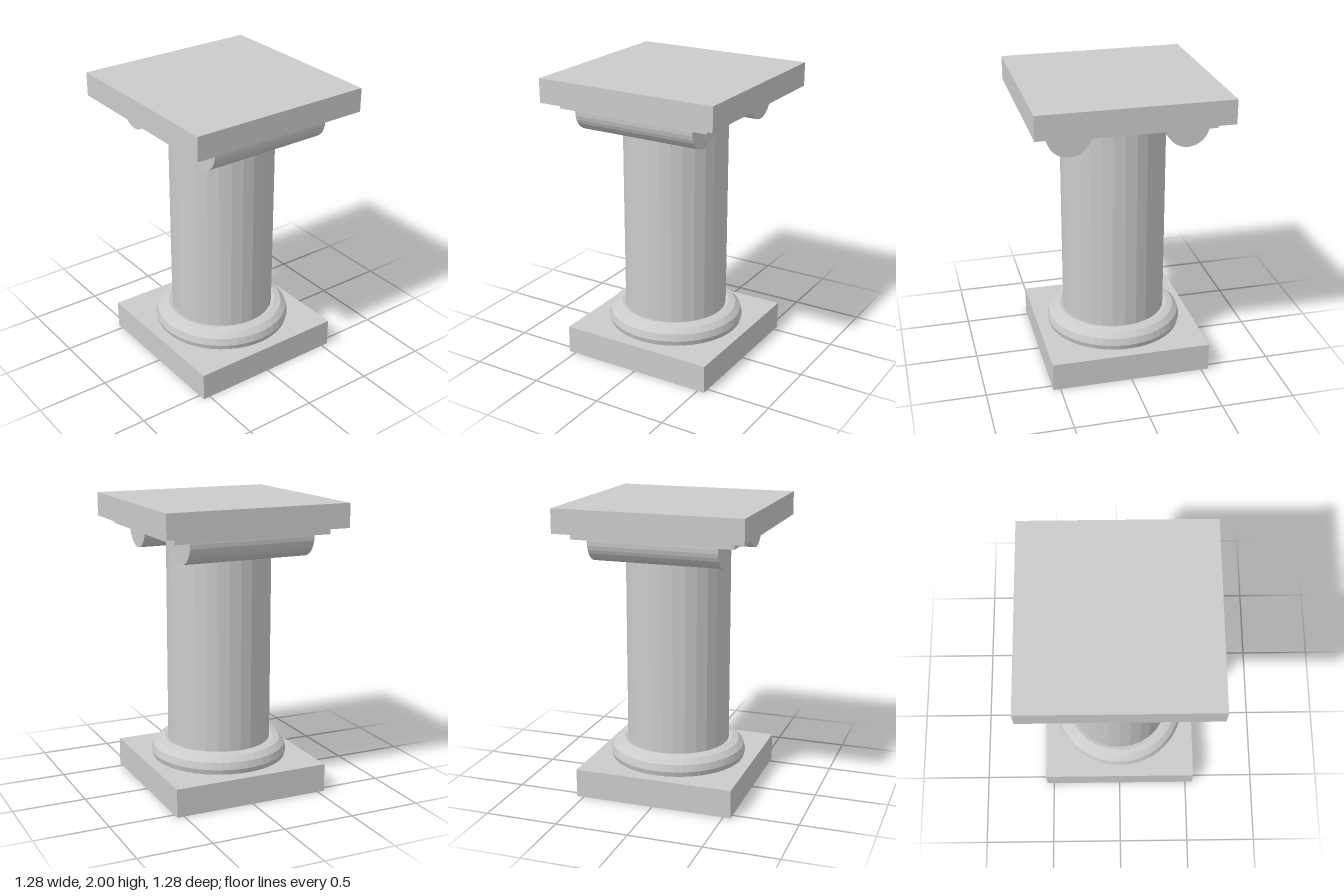
import * as THREE from 'three';

const material = new THREE.MeshStandardMaterial({ color: 0xcccccc, flatShading: true });

export function createModel() {
  const column = new THREE.Group();
  column.name = 'column';

  const add = (name, geometry, x, y, z) => {
    const mesh = new THREE.Mesh(geometry, material);
    mesh.name = name;
    mesh.position.set(x, y, z);
    column.add(mesh);
  };

  // Square slab between two heights
  const slab = (name, width, y0, y1) =>
    add(name, new THREE.BoxGeometry(width, y1 - y0, width), 0, (y0 + y1) / 2, 0);

  // Rounded ring moulding, partly sunk into the neighbouring slab
  const ring = (name, y) =>
    add(name, new THREE.TorusGeometry(0.38, 0.095, 12, 48).rotateX(Math.PI / 2), 0, y, 0);

  // Base
  slab('plinth', 1.1, 0, 0.195);
  ring('baseMoulding', 0.23);

  // Shaft
  add('shaft', new THREE.CylinderGeometry(0.358, 0.358, 1.65, 28), 0, 1.0, 0);

  // Capital
  ring('capitalMoulding', 1.85);
  for (const side of [1, -1]) {
    const scroll = new THREE.CylinderGeometry(0.146, 0.146, 0.88, 32).rotateZ(Math.PI / 2);
    add(side > 0 ? 'frontScroll' : 'backScroll', scroll, 0, 1.781, side * 0.388);
  }
  slab('lowerAbacus', 1.1, 1.79, 1.837);
  slab('upperAbacus', 1.28, 1.837, 2);

  return column;
}
